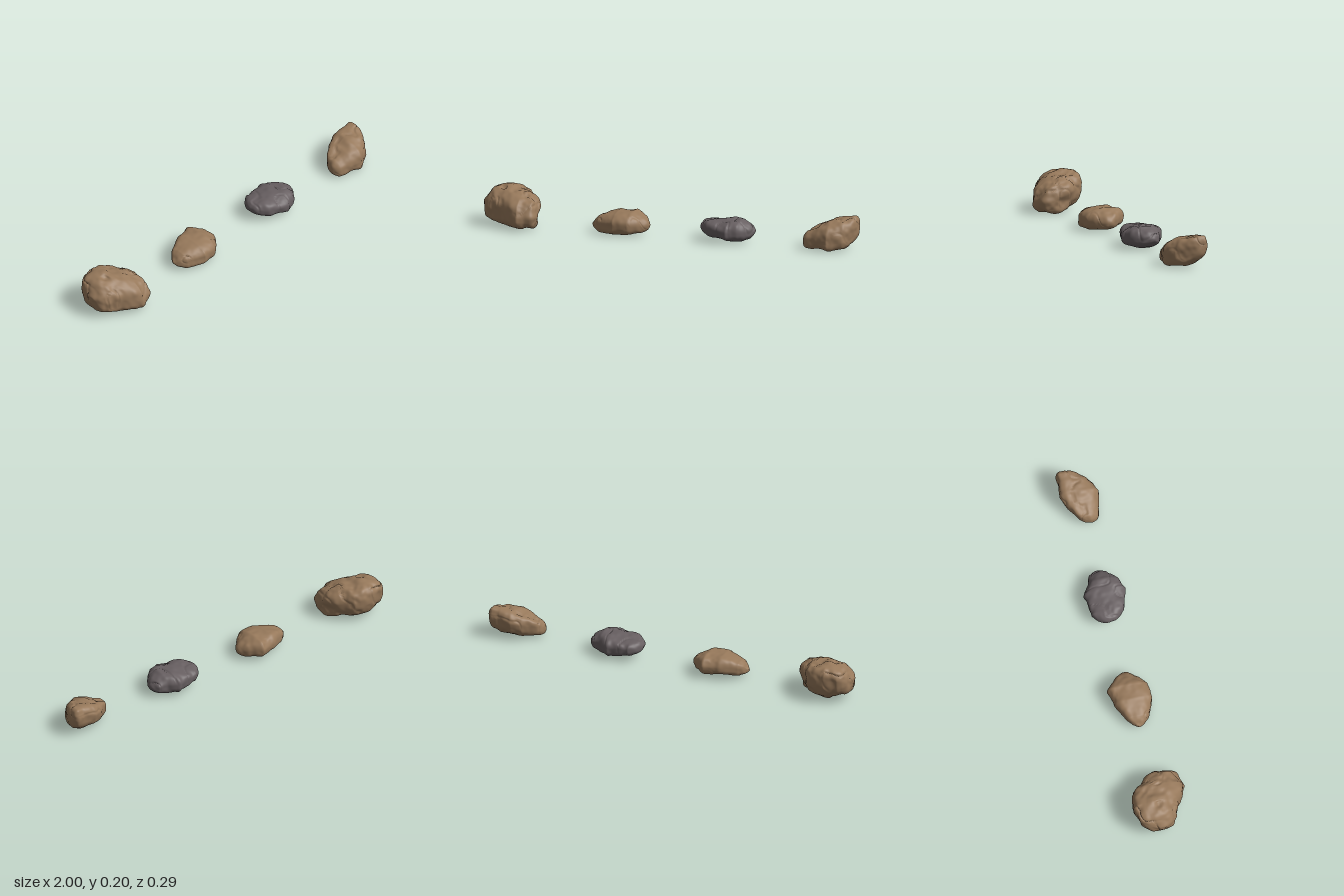
import * as THREE from 'three';

const { lerp, clamp } = THREE.MathUtils;

// Smooth lattice noise, 0..1
function hash(x, y, z) {
  const s = Math.sin(x * 127.1 + y * 311.7 + z * 74.7) * 43758.5453;
  return s - Math.floor(s);
}
function noise(x, y, z) {
  const i = [x, y, z].map(Math.floor);
  const [u, v, w] = [x - i[0], y - i[1], z - i[2]].map((f) => f * f * (3 - 2 * f));
  const edge = (b, c) => lerp(hash(i[0], i[1] + b, i[2] + c), hash(i[0] + 1, i[1] + b, i[2] + c), u);
  return lerp(lerp(edge(0, 0), edge(1, 0), v), lerp(edge(0, 1), edge(1, 1), v), w);
}

// Each station: [x, yMin, yMax, zMin, zMax].
// lean shifts the crest in z, sag lowers the front bulge and raises the back one.
const ROCKS = [
  {
    name: 'largeBoulder', color: 'tan', rough: 1.2, lean: -0.3, sag: 0.3,
    stations: [
      [-1, 0.05, 0.16, -0.09, 0.02], [-0.95, 0.03, 0.185, -0.13, 0.065], [-0.88, 0.01, 0.208, -0.148, 0.09],
      [-0.78, 0.005, 0.185, -0.12, 0.145], [-0.69, 0.01, 0.14, 0, 0.105],
    ],
  },
  {
    name: 'flatBoulder', color: 'tan', rough: 0.7, lean: -0.3, sag: 0.15,
    stations: [
      [-0.42, 0.03, 0.06, -0.015, 0.015], [-0.37, 0.013, 0.092, -0.055, 0.06], [-0.28, 0.01, 0.116, -0.095, 0.105],
      [-0.2, 0.008, 0.118, -0.117, 0.09], [-0.117, 0.015, 0.08, -0.04, 0.025],
    ],
  },
  {
    name: 'darkBoulder', color: 'grey', rough: 0.7, lean: 0, sag: 0.05,
    stations: [
      [0.165, 0.05, 0.105, -0.05, 0.035], [0.22, 0.028, 0.113, -0.1, 0.07], [0.33, 0.01, 0.118, -0.113, 0.107],
      [0.385, 0.01, 0.117, -0.08, 0.082], [0.456, 0.035, 0.08, -0.06, 0.01],
    ],
  },
  {
    name: 'peakedBoulder', color: 'tan', rough: 0.8, lean: -0.4, sag: 0.3,
    stations: [
      [0.724, 0.012, 0.085, -0.02, 0.058], [0.815, 0.008, 0.132, -0.085, 0.08], [0.87, 0.006, 0.15, -0.105, 0.1],
      [0.94, 0.013, 0.162, -0.097, 0.055], [1, 0.05, 0.172, -0.105, -0.025],
    ],
  },
];

const RINGS = 90;
const SIDES = 90;
const END_RADIUS = 0.03;

function rockGeometry({ stations, rough, lean, sag }) {
  const first = stations[0][0], last = stations.at(-1)[0];
  const positions = [], index = [];

  // Rings along x, closing to a rounded point at both ends
  for (let r = 0; r <= RINGS; r++) {
    const x = lerp(first, last, (1 - Math.cos(Math.PI * r / RINGS)) / 2);
    const k = clamp(stations.findIndex((s) => s[0] > x) - 1, 0, stations.length - 2);
    const from = r === RINGS ? stations.length - 2 : k;
    const t = (x - stations[from][0]) / (stations[from + 1][0] - stations[from][0]);
    const [, y0, y1, z0, z1] = stations[from].map((a, n) => lerp(a, stations[from + 1][n], t));
    const depth = clamp(Math.min(x - first, last - x) / END_RADIUS, 0, 1);
    const round = Math.sqrt(depth * (2 - depth)) / 2;

    // Rounded-square section with a flatter underside
    for (let j = 0; j < SIDES; j++) {
      const a = j / SIDES * Math.PI * 2;
      const c = Math.cos(a), s = Math.sin(a);
      const z = Math.sign(c) * Math.abs(c) ** 0.8;
      const y = Math.sign(s) * Math.abs(s) ** (s < 0 ? 0.6 : 0.85);
      const v = y - sag * z * (1 - y * y);
      const u = z + lean * y * (1 - z * z);
      positions.push(x, (y0 + y1) / 2 + v * round * (y1 - y0), (z0 + z1) / 2 + u * round * (z1 - z0));
    }
  }
  for (let r = 0; r < RINGS; r++) {
    for (let j = 0; j < SIDES; j++) {
      const a = r * SIDES + j, b = r * SIDES + (j + 1) % SIDES;
      index.push(a, a + SIDES, b, b, a + SIDES, b + SIDES);
    }
  }

  const geometry = new THREE.BufferGeometry();
  geometry.setAttribute('position', new THREE.Float32BufferAttribute(positions, 3));
  geometry.setIndex(index);
  geometry.computeVertexNormals();

  // Weathered surface: broad lumps, small pits and thin cracks
  const pos = geometry.attributes.position, nor = geometry.attributes.normal;
  const p = new THREE.Vector3(), n = new THREE.Vector3();
  for (let i = 0; i < pos.count; i++) {
    p.fromBufferAttribute(pos, i);
    n.fromBufferAttribute(nor, i);
    const at = (f) => noise(p.x * f + 40, p.y * f + 7, p.z * f + 23);
    const crack = Math.max(0, 1 - Math.abs(at(13) - 0.5) * 22) * Math.max(0, n.y + 0.5);
    const lift = (at(17) - 0.5) * 0.018 + (at(42) - 0.5) * 0.007 - crack * 0.005;
    p.addScaledVector(n, lift * rough);
    pos.setXYZ(i, clamp(p.x, -1, 1), Math.max(p.y, 0), p.z);
  }
  geometry.computeVertexNormals();
  return geometry;
}

export function createModel() {
  const materials = {
    tan: new THREE.MeshStandardMaterial({ name: 'tanStone', color: 0x97795b }),
    grey: new THREE.MeshStandardMaterial({ name: 'greyStone', color: 0x675f61 }),
  };
  const group = new THREE.Group();
  group.name = 'boulders';
  for (const rock of ROCKS) {
    const mesh = new THREE.Mesh(rockGeometry(rock), materials[rock.color]);
    mesh.name = rock.name;
    group.add(mesh);
  }
  return group;
}
